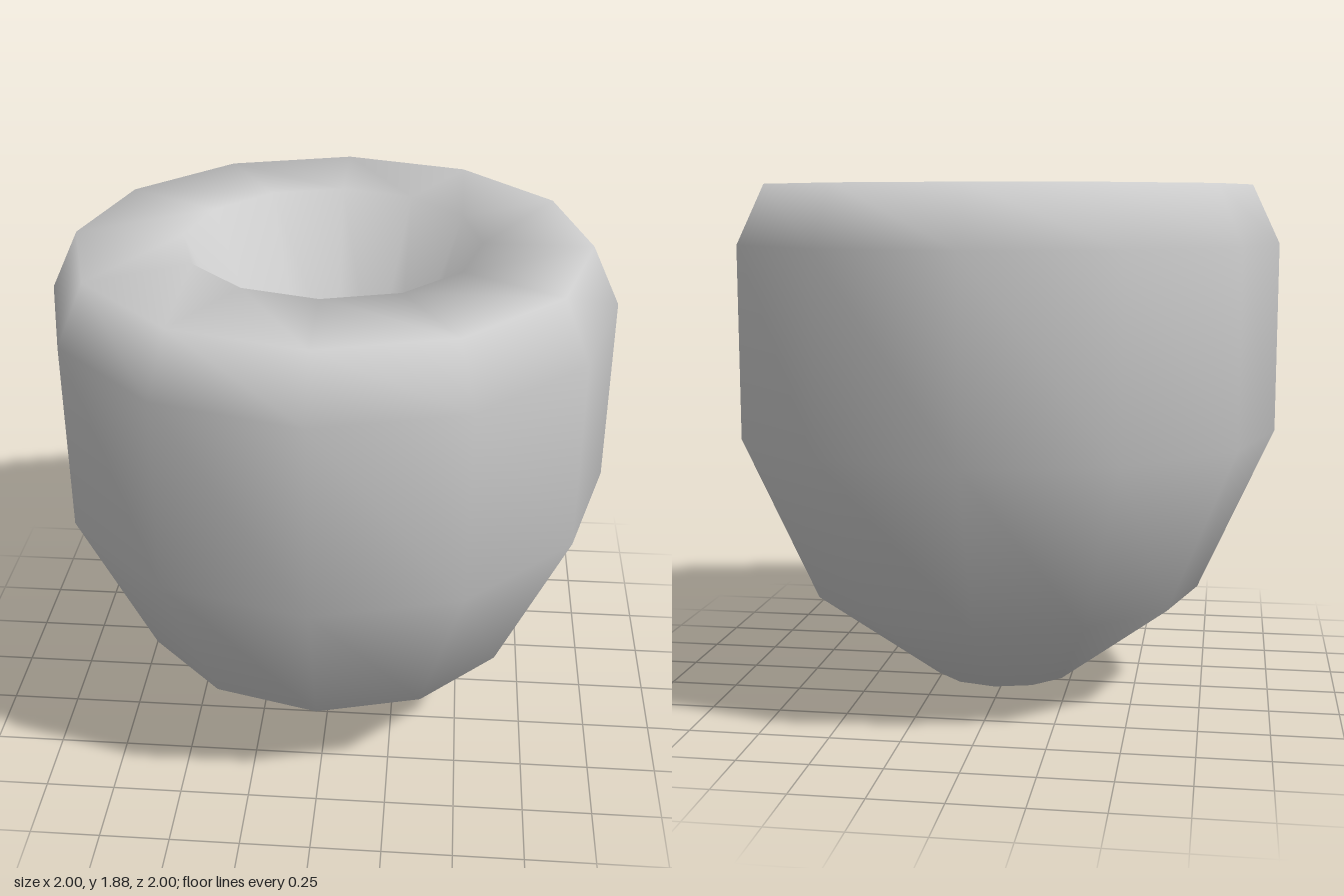
import * as THREE from 'three';
import { mergeVertices } from 'three/addons/utils/BufferGeometryUtils.js';

export function createModel() {
  const group = new THREE.Group();
  group.name = 'hollowPot';

  // Profile from the bottom tip, up the outside, over the rim and down into the hollow
  const profile = [
    [0, 0], [0.27, 0.05], [0.73, 0.39], [1, 0.99], [1, 1.67],
    [0.9, 1.88], [0.52, 1.88], [0.27, 1.25], [0, 1.15],
  ].map(([r, y]) => new THREE.Vector2(r, y));

  // Twelve-sided body, welded so that shading is smooth across seam and poles
  const lathe = new THREE.LatheGeometry(profile, 12);
  lathe.deleteAttribute('uv');
  lathe.deleteAttribute('normal');
  const geometry = mergeVertices(lathe, 1e-4);
  geometry.computeVertexNormals();

  const body = new THREE.Mesh(geometry, new THREE.MeshStandardMaterial({ color: 0xcccccc }));
  body.name = 'body';
  group.add(body);
  return group;
}
